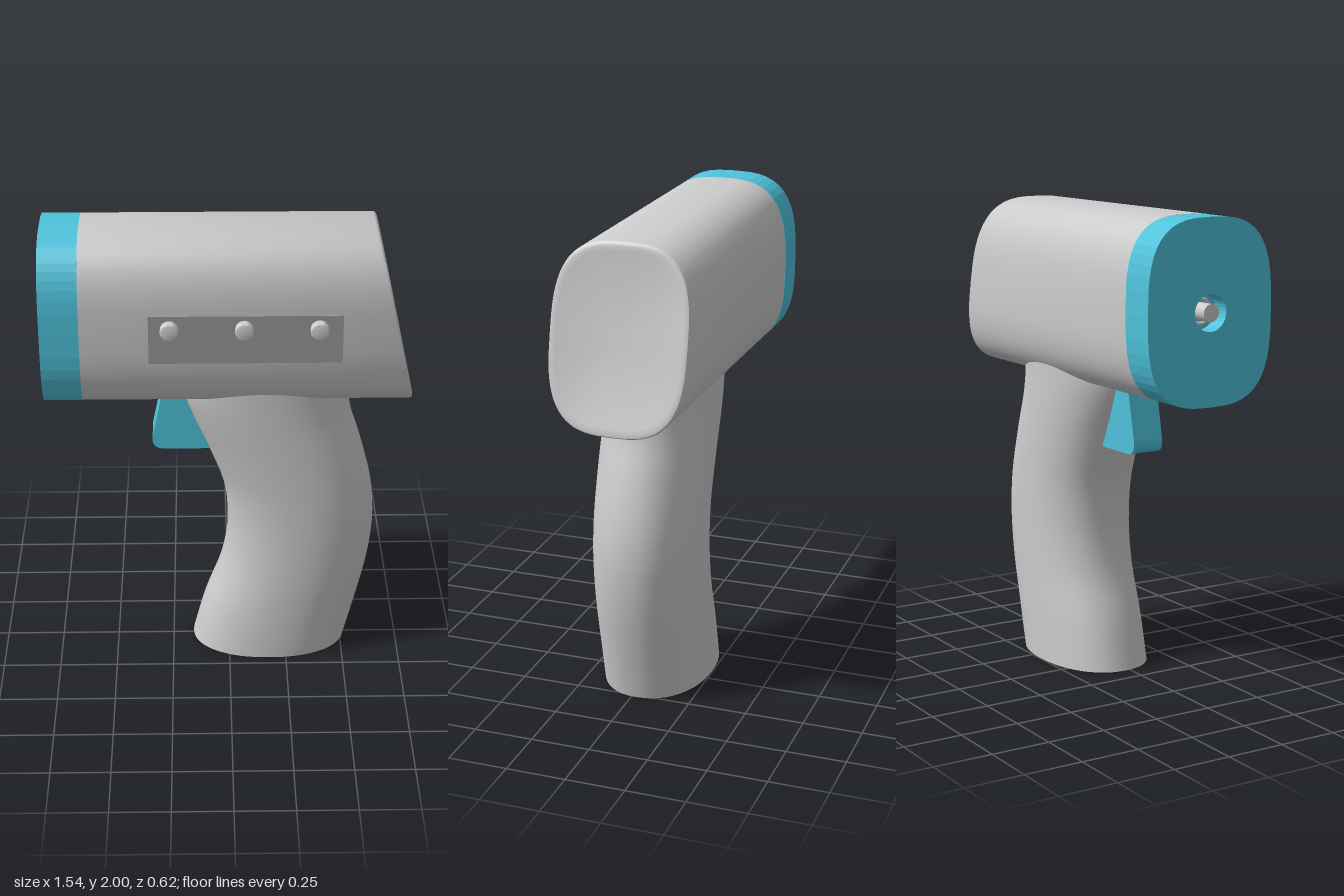
import * as THREE from 'three';
import { toCreasedNormals } from 'three/addons/utils/BufferGeometryUtils.js';

const grey = new THREE.MeshStandardMaterial({ color: 0xcccccc, side: THREE.DoubleSide });
const blue = new THREE.MeshStandardMaterial({ color: 0x4fc3dc });
const darkGrey = new THREE.MeshStandardMaterial({ color: 0x999999 });

const CY = 1.625, CZ = -0.02; // centre line of the body

// Points [u, v] of a superellipse with half sizes a, b
function superellipse(a, b, n, count) {
  const power = (t) => Math.sign(t) * Math.abs(t) ** (2 / n);
  return Array.from({ length: count }, (_, i) => {
    const t = (i / count) * Math.PI * 2;
    return [a * power(Math.cos(t)), b * power(Math.sin(t))];
  });
}

// Skin over closed rings of equal point count
function loft(rings, crease) {
  const n = rings[0].length, index = [];
  for (let r = 0; r < rings.length - 1; r++) {
    for (let i = 0; i < n; i++) {
      const a = r * n + i, a1 = r * n + (i + 1) % n;
      index.push(a, a + n, a1, a1, a + n, a1 + n);
    }
  }
  const g = new THREE.BufferGeometry();
  g.setAttribute('position', new THREE.Float32BufferAttribute(rings.flat(2), 3));
  g.setIndex(index);
  return toCreasedNormals(g, crease);
}

export function createModel() {
  const model = new THREE.Group();
  const add = (name, geometry, material) => {
    const mesh = new THREE.Mesh(geometry, material);
    mesh.name = name;
    model.add(mesh);
    return mesh;
  };

  // Body: straight tube with a slanted end and a softened rim
  const slant = (y) => 0.605 + 0.165 * (2 - y) / 0.75;
  const bodyRing = (scale, xAt) => superellipse(0.29 * scale, 0.375 * scale, 3, 72)
    .map(([z, y]) => [xAt(CY + y), CY + y, CZ + z]);
  add('body', loft([
    bodyRing(1, () => -0.61),
    bodyRing(1, (y) => slant(y) - 0.012),
    bodyRing(0.985, (y) => slant(y) - 0.003),
    bodyRing(0.95, slant),
    bodyRing(0.9, (y) => slant(y) - 0.004),
    bodyRing(0, (y) => slant(y) - 0.006),
  ], 0.7), grey);

  // Nose cap with a round opening
  const capShape = new THREE.Shape(superellipse(0.292, 0.375, 3, 48)
    .map(([z, y]) => new THREE.Vector2(z + CZ, y + CY)));
  capShape.holes.push(new THREE.Path().absarc(CZ, CY, 0.075, 0, Math.PI * 2, true));
  const cap = new THREE.ExtrudeGeometry(capShape, { depth: 0.16, bevelEnabled: false, curveSegments: 16 });
  add('noseCap', cap.rotateY(-Math.PI / 2).translate(-0.61, 0, 0), blue);

  // Sensor: recess floor and small ringed lens
  add('sensorFloor', new THREE.CircleGeometry(0.076, 32).rotateY(-Math.PI / 2).translate(-0.69, CY, CZ), blue);
  add('sensorLens', new THREE.CylinderGeometry(0.036, 0.036, 0.09, 24)
    .rotateZ(Math.PI / 2).translate(-0.73, CY, CZ), grey);
  add('sensorRing', new THREE.TorusGeometry(0.05, 0.008, 8, 32)
    .rotateY(Math.PI / 2).translate(-0.695, CY, CZ), grey);

  // Grip: S-curved, [height, front edge x, rear edge x]
  const profile = [
    [0, -0.16, 0.517], [0.2, -0.107, 0.565], [0.4, -0.035, 0.608], [0.55, -0.009, 0.627],
    [0.66, -0.007, 0.63], [0.8, -0.025, 0.615], [1, -0.1, 0.565], [1.15, -0.165, 0.518],
    [1.25, -0.2, 0.503], [1.4, -0.22, 0.5],
  ];
  const edge = (k) => new THREE.CatmullRomCurve3(profile.map((p) => new THREE.Vector3(p[k], p[0], 0)));
  const front = edge(1), rear = edge(2);
  const gripRing = (t, scale) => {
    const a = front.getPoint(t), b = rear.getPoint(t);
    return superellipse(scale * (b.x - a.x) / 2, scale * 0.227, 2.2, 48)
      .map(([x, z]) => [(a.x + b.x) / 2 + x, Math.max(0, a.y), CZ + z]);
  };
  const gripRings = [gripRing(0, 0)];
  for (let i = 0; i <= 36; i++) gripRings.push(gripRing(i / 36, 1));
  add('grip', loft(gripRings, 0.7), grey);

  // Trigger
  const t = new THREE.Shape();
  t.moveTo(-0.28, 1.27);
  t.lineTo(-0.327, 1.045);
  t.quadraticCurveTo(-0.335, 0.985, -0.275, 0.985);
  t.lineTo(0.02, 0.985);
  t.lineTo(-0.05, 1.27);
  add('trigger', new THREE.ExtrudeGeometry(t, { depth: 0.14, bevelEnabled: false })
    .translate(0, 0, CZ - 0.07), blue);

  // Control panel with three buttons
  add('controlPanel', new THREE.BoxGeometry(0.785, 0.21, 0.02).translate(0.0625, 1.61, 0.264), darkGrey);
  const buttonProfile = [[0.038, 0], [0.038, 0.04], [0.035, 0.046], [0.029, 0.048], [0, 0.048]]
    .map(([r, h]) => new THREE.Vector2(r, h));
  const button = toCreasedNormals(new THREE.LatheGeometry(buttonProfile, 28).rotateX(Math.PI / 2), 0.6);
  for (const x of [-0.245, 0.057, 0.36]) {
    add('button', button, grey).position.set(x, 1.657, 0.262);
  }
  return model;
}
